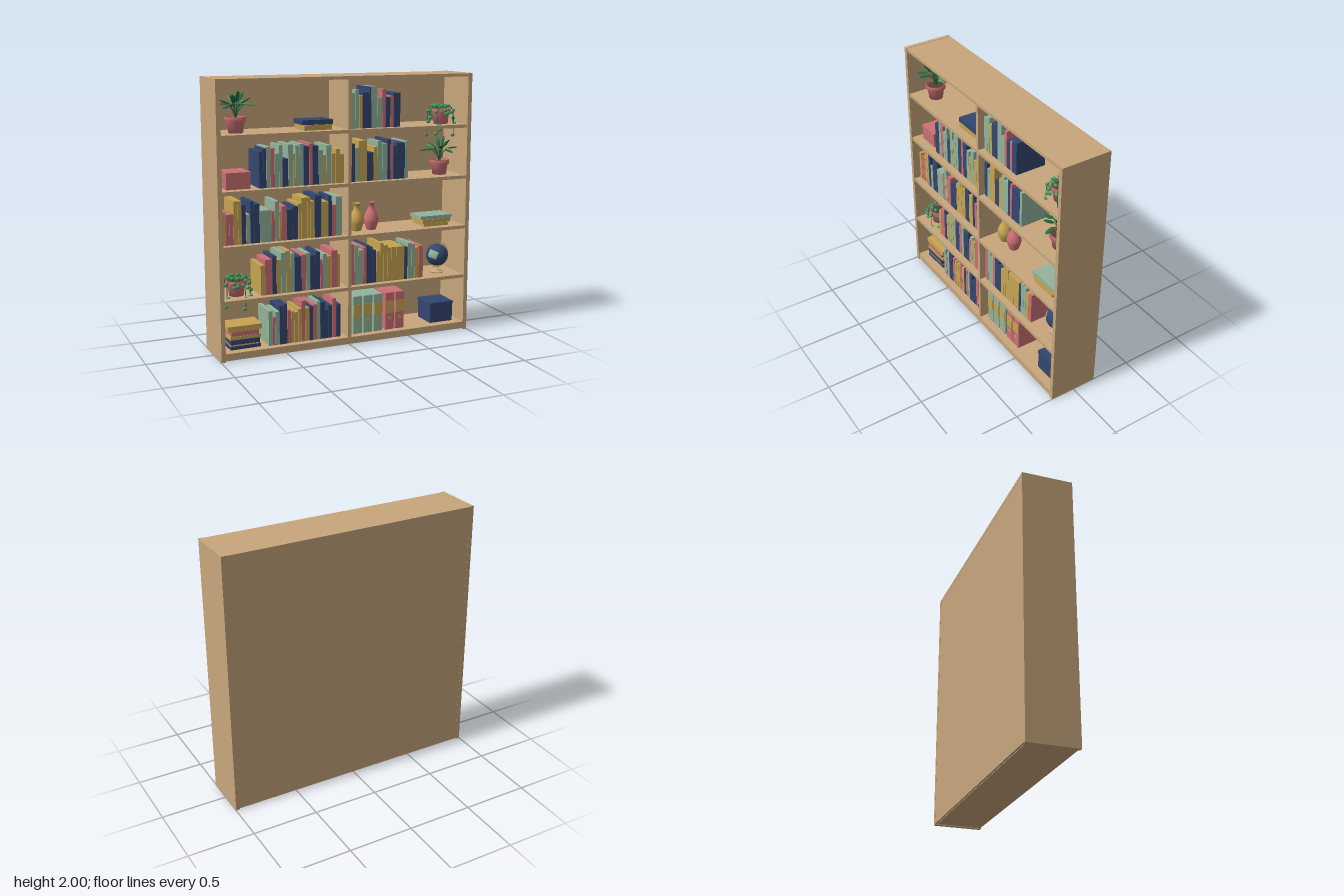
import * as THREE from 'three';
import { RoundedBoxGeometry } from 'three/addons/geometries/RoundedBoxGeometry.js';

const mat = (name, color) => new THREE.MeshStandardMaterial({ name, color });
const wood = mat('wood', 0xc8a67c), navy = mat('navy', 0x34466f), red = mat('rose red', 0xcb7074);
const sage = mat('sage', 0x92b49b), gold = mat('gold', 0xc6a452), soil = mat('soil', 0x5a4030);
const green = mat('leaf green', 0x46a05f), dark = mat('dark green', 0x1f6b41);
const BOOK = { n: navy, r: red, s: sage, g: gold };
const V = (x, y, z) => new THREE.Vector3(x, y, z);
const SHELF = [0.06, 0.445, 0.835, 1.225, 1.615]; // top surface of each shelf

function add(parent, name, geo, m, x = 0, y = 0, z = 0) {
  const mesh = new THREE.Mesh(geo, m);
  mesh.name = name;
  mesh.position.set(x, y, z);
  parent.add(mesh);
  return mesh;
}
// box given by its lower and upper corners
function block(parent, name, m, x0, x1, y0, y1, z0, z1) {
  return add(parent, name, new THREE.BoxGeometry(x1 - x0, y1 - y0, z1 - z0), m,
    (x0 + x1) / 2, (y0 + y1) / 2, (z0 + z1) / 2);
}
function group(parent, name, x = 0, y = 0, z = 0) {
  const g = new THREE.Group();
  g.name = name;
  g.position.set(x, y, z);
  parent.add(g);
  return g;
}
const lathe = (pts, n = 28) => new THREE.LatheGeometry(pts.map(p => new THREE.Vector2(...p)), n);

// each token: colour letter, relative width, height in hundredths
function bookRow(parent, x0, x1, y, code) {
  const g = group(parent, 'bookRow');
  const books = code.split(' ').map(t => [BOOK[t[0]], ...t.slice(1).split('.').map(Number)]);
  const unit = (x1 - x0) / books.reduce((s, b) => s + b[1], 0);
  let x = x0;
  books.forEach(([m, w, h], i) => {
    const back = -0.1 + 0.015 * ((i * 7) % 4);
    block(g, 'book', m, x + 0.001, x + w * unit - 0.001, y, y + h / 100, i === books.length - 1 ? -0.1 : back, 0.135);
    x += w * unit;
  });
}

// lying books, bottom to top: material, width, thickness, turn
function bookStack(parent, x, y, list) {
  const g = group(parent, 'bookStack', x, y, 0.03);
  let h = 0;
  for (const [m, w, t, turn] of list) {
    add(g, 'lyingBook', new THREE.BoxGeometry(w, t - 0.001, 0.18), m, 0, h + t / 2, 0).rotation.y = turn;
    h += t;
  }
}

function storageBox(parent, m, x0, x1, y, h) {
  const g = group(parent, 'storageBox');
  block(g, 'boxBody', m, x0 + 0.004, x1 - 0.004, y, y + h - 0.02, -0.08, 0.116);
  block(g, 'boxLid', m, x0, x1, y + h - 0.022, y + h, -0.084, 0.12);
}

function pot(g) {
  add(g, 'pot', lathe([[0, 0], [0.052, 0], [0.064, 0.08], [0.075, 0.082], [0.076, 0.113], [0.066, 0.113], [0.064, 0.09]]), red);
  add(g, 'soil', new THREE.CylinderGeometry(0.065, 0.062, 0.01, 24), soil, 0, 0.093, 0);
}

// flat pointed oval lying along a direction, starting at a point
function leaf(g, base, dir, len, wide, m) {
  const yAxis = dir.clone().normalize();
  const xAxis = V(yAxis.z, 0, -yAxis.x).normalize();
  const zAxis = xAxis.clone().cross(yAxis);
  const geo = new THREE.SphereGeometry(1, 12, 8).scale(wide / 2, len / 2, 0.006);
  const c = base.clone().addScaledVector(yAxis, len / 2);
  const mesh = add(g, 'leaf', geo, m, c.x, c.y, c.z);
  mesh.quaternion.setFromRotationMatrix(new THREE.Matrix4().makeBasis(xAxis, yAxis, zAxis));
}
function stem(g, pts, r = 0.003) {
  add(g, 'stem', new THREE.TubeGeometry(new THREE.CatmullRomCurve3(pts), 14, r, 5), dark);
}

function leafyPlant(parent, x, y, turn) {
  const g = group(parent, 'leafyPlant', x, y, 0.04);
  pot(g);
  const crown = group(g, 'foliage');
  crown.rotation.y = turn;
  for (let i = 0; i < 13; i++) {
    const t = i / 12, a = i * 2.4 + 1.2, c = Math.cos(a), s = Math.sin(a);
    const r = 0.015 + 0.062 * t, tip = V(c * r, 0.215 - 0.02 * t, s * r);
    stem(crown, [V(0, 0.095, 0), V(c * r * 0.4, 0.16, s * r * 0.4), tip]);
    leaf(crown, tip, V(c * (0.25 + t), 0.9 - 1.25 * t, s * (0.25 + t)), 0.08, 0.036, i % 3 === 1 ? green : dark);
  }
}

function trailingPlant(parent, x, y, turn) {
  const g = group(parent, 'trailingPlant', x, y, 0.045);
  pot(g);
  const drops = [0.12, 0.2, 0.04, 0.19, 0.1, 0.21, 0.06, 0.18, 0.13];
  drops.forEach((d, i) => {
    const a = turn + i / drops.length * Math.PI * 2, c = Math.cos(a), s = Math.sin(a);
    const at = (r, h) => V(c * r, h, s * r);
    const pts = [at(0.015, 0.095), at(0.06, 0.135), at(0.092, 0.11), at(0.103, 0.11 - d * 0.5), at(0.106, 0.12 - d)];
    stem(g, pts, 0.0025);
    const curve = new THREE.CatmullRomCurve3(pts);
    [0.25, 0.55, 0.8, 1].forEach((t, k) => {
      const p = curve.getPoint(t), side = k % 2 ? 0.012 : -0.012;
      add(g, 'smallLeaf', new THREE.SphereGeometry(1, 10, 8).scale(0.017, 0.013, 0.012), green,
        p.x - s * side, p.y, p.z + c * side);
    });
  });
}

function binder(parent, x, m) {
  const g = group(parent, 'binder', x, SHELF[0], 0);
  add(g, 'binderBody', new RoundedBoxGeometry(0.077, 0.295, 0.25, 2, 0.007), m, 0, 0.1475, 0.008);
  add(g, 'binderLabel', new THREE.BoxGeometry(0.066, 0.095, 0.004), gold, 0, 0.18, 0.134);
  add(g, 'fingerHole', new THREE.CylinderGeometry(0.014, 0.014, 0.004, 18), gold, 0, 0.09, 0.134).rotation.x = Math.PI / 2;
}

function vase(parent, x, m) {
  const profile = new THREE.SplineCurve([[0.034, 0], [0.045, 0.03], [0.055, 0.075], [0.045, 0.12], [0.025, 0.16], [0.022, 0.185], [0.032, 0.21]]
    .map(p => new THREE.Vector2(...p))).getPoints(28);
  const inside = [new THREE.Vector2(0.026, 0.21), new THREE.Vector2(0.016, 0.18), new THREE.Vector2(0, 0.17)];
  add(parent, 'vase', new THREE.LatheGeometry([new THREE.Vector2(0, 0), ...profile, ...inside], 28), m, x, SHELF[2], 0.025);
}

function globe(parent) {
  const g = group(parent, 'globe', 0.815, SHELF[1], 0.03);
  add(g, 'globeBase', lathe([[0, 0], [0.055, 0], [0.055, 0.008], [0.012, 0.016], [0.008, 0.045], [0, 0.045]]), wood);
  const tilted = group(g, 'tiltedBall', 0, 0.137, 0);
  tilted.rotation.z = -0.4;
  add(tilted, 'ball', new THREE.SphereGeometry(0.086, 32, 24), navy);
  // land patches: phi start, phi size, theta start, theta size
  for (const p of [[2.2, 1.1, 0.55, 0.55], [2.8, 0.6, 1.1, 0.4], [4.6, 1.0, 0.8, 0.8], [0.2, 0.9, 1.3, 0.7]])
    add(tilted, 'land', new THREE.SphereGeometry(0.088, 12, 8, ...p), sage);
  const arc = new THREE.TorusGeometry(0.097, 0.004, 8, 32, Math.PI);
  add(tilted, 'meridianArc', arc, wood).rotation.z = -Math.PI / 2;
  add(tilted, 'axle', new THREE.CylinderGeometry(0.004, 0.004, 0.2, 8), wood);
}

export function createModel() {
  const model = new THREE.Group();
  model.name = 'bookcase';

  // case
  const shell = group(model, 'case');
  for (const s of [-1, 1]) add(shell, 'sidePanel', new THREE.BoxGeometry(0.032, 2, 0.38), wood, s * 0.984, 1, 0);
  block(shell, 'topPanel', wood, -0.968, 0.968, 1.975, 1.998, -0.19, 0.188);
  block(shell, 'backPanel', wood, -0.968, 0.968, 0.008, 1.99, -0.189, -0.175);
  block(shell, 'plinth', wood, -0.968, 0.968, 0.008, SHELF[0], -0.17, 0.186);
  for (const y of SHELF.slice(1)) block(shell, 'shelf', wood, -0.968, 0.968, y - 0.025, y, -0.176, 0.186);
  SHELF.forEach((y, i) => block(shell, 'divider', wood, -0.014, 0.012, y, i < 4 ? SHELF[i + 1] - 0.025 : 1.976, -0.176, 0.18));

  // standing books, top shelf first
  bookRow(model, 0.02, 0.425, SHELF[4], 's7.26 s6.28 g5.24 n10.26 n3.30 s9.30 s7.22 r5.28 n7.22 r5.23 n10.25');
  bookRow(model, -0.68, -0.03, SHELF[3], 'n6.26 n4.28 s6.29 r6.28 s6.24 s5.30 n8.20 s7.30 g3.23 s6.29 s6.30 n8.28 r5.30 n9.28 s6.25 g5.21 s8.28 g6.22 g6.25 g6.21');
  bookRow(model, 0.02, 0.495, SHELF[3], 'n7.28 s6.25 g12.30 n10.21 g6.25 s7.29 s8.27 n5.30 r4.28 n5.25 n13.27 s5.28');
  bookRow(model, -0.96, -0.045, SHELF[2], 'g5.24 r5.22 r6.22 g6.31 g5.31 n6.28 s6.21 n5.30 n8.28 s16.23 r5.22 s6.29 g3.21 r8.25 n8.22 n8.24 g5.26 g8.30 g5.30 g6.27 n10.31 g10.26 n5.30 r6.23 s9.29');
  bookRow(model, -0.68, -0.06, SHELF[1], 'g6.22 r10.26 n6.28 g6.25 s7.30 g6.31 s6.29 n10.26 r6.27 s6.28 n8.26 n6.28 r4.22 s6.26 g6.24 r9.28 g4.25');
  bookRow(model, 0.02, 0.635, SHELF[1], 'r7.31 s6.30 s7.26 r5.28 n4.29 n5.28 n6.25 g6.24 g5.30 g7.28 g6.26 g7.26 g13.26 n5.25 s6.28 s6.27 g6.24 r7.25');
  bookRow(model, -0.625, -0.055, SHELF[0], 's6.26 r4.21 s6.25 n6.29 n5.30 r6.25 g4.24 g6.23 g5.25 r6.31 g6.25 n5.26 r6.27 s5.29 n7.28 n5.22 n6.25 r6.30 n7.25');
  [0.085, 0.17, 0.255, 0.354, 0.438].forEach((x, i) => binder(model, x, i < 3 ? sage : red));

  // lying books
  bookStack(model, -0.228, SHELF[4], [[gold, 0.215, 0.04, 0.05], [navy, 0.235, 0.035, 0]]);
  bookStack(model, 0.752, SHELF[2], [[gold, 0.21, 0.024, 0], [gold, 0.24, 0.03, 0.03], [sage, 0.265, 0.028, 0]]);
  bookStack(model, -0.798, SHELF[0], [[navy, 0.23, 0.026, 0.03], [gold, 0.22, 0.01, 0], [navy, 0.22, 0.036, 0],
    [gold, 0.235, 0.026, 0.03], [red, 0.21, 0.036, 0], [gold, 0.255, 0.04, 0]]);

  // ornaments
  storageBox(model, red, -0.92, -0.735, SHELF[3], 0.12);
  storageBox(model, navy, 0.71, 0.915, SHELF[0], 0.16);
  leafyPlant(model, -0.815, SHELF[4], 0);
  leafyPlant(model, 0.815, SHELF[3], 1.1);
  trailingPlant(model, 0.815, SHELF[4], 0.2);
  trailingPlant(model, -0.835, SHELF[1], 0.5);
  vase(model, 0.122, gold);
  vase(model, 0.243, red);
  globe(model);
  return model;
}
